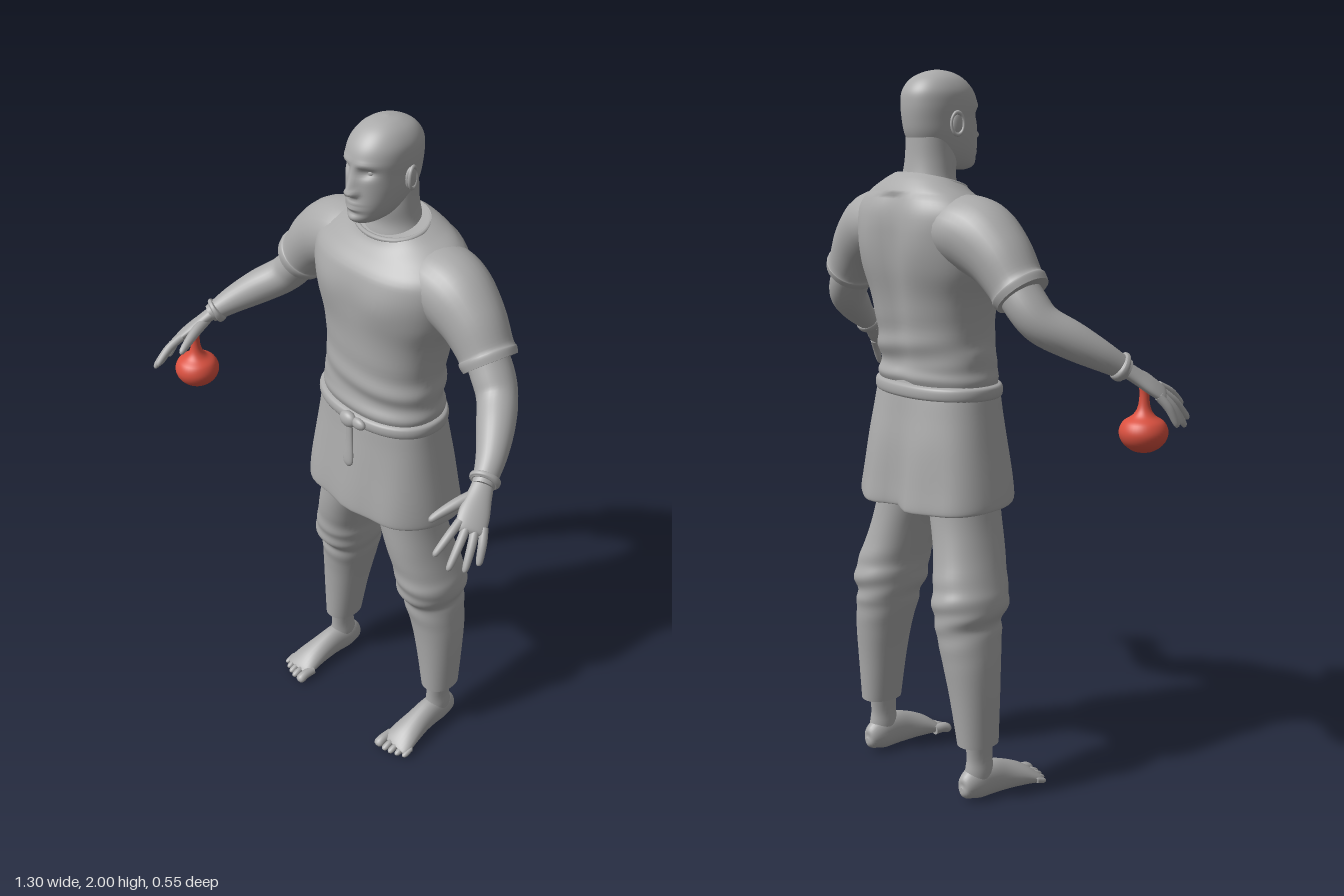
import * as THREE from 'three';

const cloth = new THREE.MeshStandardMaterial({ color: 0xaaaaaa, side: THREE.DoubleSide });
cloth.name = 'grey';
const red = new THREE.MeshStandardMaterial({ color: 0xd9503f });
red.name = 'red';

const V3 = (x, y, z) => new THREE.Vector3(x, y, z);
const gauss = (a, b, sa, sb) => Math.exp(-((a / sa) ** 2) - (b / sb) ** 2);
const clamp = THREE.MathUtils.clamp;

// Smoothly interpolates rows of numbers, column by column
function smoothRows(rows, steps) {
  const out = [], n = rows.length - 1;
  for (let i = 0; i <= n * steps; i++) {
    const k = Math.min(Math.floor(i / steps), n - 1), t = i / steps - k;
    const [a, b, c, d] = [rows[Math.max(k - 1, 0)], rows[k], rows[k + 1], rows[Math.min(k + 2, n)]];
    out.push(b.map((v, j) => 0.5 * (2 * v + (c[j] - a[j]) * t
      + (2 * a[j] - 5 * v + 4 * c[j] - d[j]) * t * t
      + (3 * v - a[j] - 3 * c[j] + d[j]) * t * t * t)));
  }
  return out;
}

// Skins a list of rings; caps have their own corners so the rims stay sharp
function skin(rings, caps, bump) {
  const segs = rings[0].length, pos = [], idx = [];
  if (bump) rings.forEach(r => r.forEach(bump));
  rings.forEach(r => r.forEach(p => pos.push(p.x, p.y, p.z)));
  for (let i = 0; i < rings.length - 1; i++) for (let j = 0; j < segs; j++) {
    const a = i * segs + j, b = i * segs + (j + 1) % segs;
    idx.push(a, a + segs, b, b, a + segs, b + segs);
  }
  if (caps) [rings[0], rings[rings.length - 1]].forEach((r, e) => {
    const base = pos.length / 3, c = V3(0, 0, 0);
    r.forEach(p => { pos.push(p.x, p.y, p.z); c.addScaledVector(p, 1 / segs); });
    pos.push(c.x, c.y, c.z);
    for (let j = 0; j < segs; j++) {
      const a = base + j, b = base + (j + 1) % segs;
      if (e) idx.push(a, base + segs, b); else idx.push(a, b, base + segs);
    }
  });
  const g = new THREE.BufferGeometry();
  g.setAttribute('position', new THREE.Float32BufferAttribute(pos, 3));
  g.setIndex(idx);
  g.computeVertexNormals();
  return g;
}

// Level sections, bottom to top: [y, xMin, xMax, zFront, zBack]
function body(rows, { segs = 56, steps = 6, power = 2, caps = true, bump } = {}) {
  const round = v => Math.sign(v) * Math.abs(v) ** (2 / power);
  return skin(smoothRows(rows, steps).map(([y, x0, x1, zf, zb]) =>
    Array.from({ length: segs }, (_, j) => {
      const a = j / segs * Math.PI * 2;
      return V3((x0 + x1) / 2 + (x1 - x0) / 2 * round(Math.cos(a)), y,
        (zf + zb) / 2 + (zf - zb) / 2 * round(Math.sin(a)));
    })), caps, bump);
}

// Sections across a path: [x, y, z, radius, radius along ref]
function limb(rows, ref = V3(0, 0, 1), segs = 28, steps = 5) {
  const pts = smoothRows(rows, steps), at = i => V3(...pts[clamp(i, 0, pts.length - 1)].slice(0, 3));
  return skin(pts.map(([, , , ra, rb], i) => {
    const T = at(i + 1).sub(at(i - 1)).normalize();
    const U = T.clone().cross(ref).normalize(), W = U.clone().cross(T);
    return Array.from({ length: segs }, (_, j) => {
      const a = j / segs * Math.PI * 2;
      return at(i).addScaledVector(U, ra * Math.cos(a)).addScaledVector(W, rb * Math.sin(a));
    });
  }), true);
}

export function createModel() {
  const model = new THREE.Group();
  const add = (name, geometry, material = cloth, parent = model) => {
    const m = new THREE.Mesh(geometry, material);
    m.name = name;
    parent.add(m);
    return m;
  };
  const sym = rows => rows.map(([y, w, zf, zb]) => [y, -w, w, zf, zb]);

  // Shirt with a spine groove, chest and waist folds
  add('shirt', body(sym([
    [1.15, .19, .028, -.215], [1.18, .197, .037, -.228], [1.21, .19, .03, -.222], [1.25, .19, .034, -.232],
    [1.3, .184, .03, -.238], [1.4, .2, .03, -.253], [1.48, .23, .034, -.266], [1.56, .245, .034, -.27],
    [1.62, .24, .018, -.268], [1.66, .2, -.008, -.25], [1.69, .145, -.03, -.225], [1.71, .112, -.04, -.2],
  ]), {
    power: 2.25, bump: p => {
      const back = p.z < -.12 ? 1 : 0, front = p.z > -.08 ? 1 : 0;
      if (p.y < 1.66) p.z += back * (.024 * gauss(p.x, p.y - 1.42, .04, .26) - .012 * gauss(Math.abs(p.x) - .11, p.y - 1.55, .06, .1));
      p.z += front * .008 * gauss(Math.abs(p.x) - .1, p.y - 1.52, .07, .06);
      p.z += (front - back) * .004 * Math.sin(p.y * 75 + p.x * 9) * gauss(0, p.y - 1.24, 1, .08);
      if (p.y > 1.6) p.y -= (p.y - 1.6) / .11 * .024 * (p.z + .12) / .08;
    },
  }));
  const loop = (rx, rz, y, zc, tilt) => new THREE.CatmullRomCurve3(Array.from({ length: 16 }, (_, i) => {
    const a = i / 16 * Math.PI * 2;
    return V3(rx * Math.cos(a), y - tilt * Math.sin(a), zc + rz * Math.sin(a));
  }), true);
  add('collar', new THREE.TubeGeometry(loop(.112, .08, 1.705, -.12, .022), 64, .007, 8, true));

  // Skirt, open below
  add('skirt', body(sym([
    [.832, .244, .06, -.27], [.842, .25, .066, -.276], [.9, .242, .062, -.268], [1, .224, .05, -.254],
    [1.08, .21, .04, -.238], [1.14, .2, .034, -.226], [1.18, .19, .026, -.215],
  ]), {
    power: 2.4, caps: false, bump: p => {
      const low = clamp((1.14 - p.y) / .3, 0, 1);
      if (p.z < -.1) p.z += .03 * low * gauss(p.x, 0, .05, 1);
      p.z += low * .005 * Math.sin(p.x * 38 + 1);
      p.y += low * .04 * (p.z + .1) * 1.5;
    },
  }));
  add('hips', body(sym([[.86, .12, -.03, -.17], [.95, .18, .01, -.21], [1.12, .17, 0, -.2]])));

  // Belt with knot and hanging tail
  add('belt', body(sym([
    [1.127, .196, .03, -.222], [1.132, .206, .042, -.232], [1.147, .209, .046, -.235],
    [1.162, .206, .042, -.232], [1.167, .196, .03, -.222],
  ]), { power: 2.25, steps: 3 }));
  const knot = add('beltKnot', new THREE.SphereGeometry(1, 24, 16));
  knot.scale.set(.03, .024, .018);
  knot.position.set(.012, 1.147, .05);
  const bow = add('beltLoop', new THREE.SphereGeometry(1, 20, 12));
  bow.scale.set(.026, .017, .013);
  bow.position.set(.05, 1.148, .047);
  add('beltTail', limb([[.018, 1.14, .052, .012, .007], [.022, 1.08, .055, .013, .007],
    [.022, 1.02, .06, .019, .008], [.022, 1.002, .06, .012, .006], [.022, .995, .06, .002, .002]]));

  // Head: face features come from soft bumps on the front half
  add('head', body(sym([
    [1.735, .012, -.005, -.045], [1.742, .034, .014, -.085], [1.76, .052, .024, -.13], [1.79, .067, .025, -.165],
    [1.83, .077, .022, -.188], [1.87, .081, .021, -.197], [1.91, .084, .021, -.2], [1.945, .08, .008, -.195],
    [1.975, .062, -.02, -.172], [1.993, .035, -.055, -.135], [2, .004, -.092, -.1],
  ]), {
    segs: 88, power: 2.15, bump: p => {
      if (p.z < -.06) return;
      const ax = Math.abs(p.x), y = p.y;
      const ridge = y > 1.825 ? clamp((1.9 - y) / .075, 0, 1) : Math.exp(-(((1.825 - y) / .008) ** 2));
      p.z += .024 * ridge * gauss(p.x, 0, .012 + .004 * ridge, 1)
        + .008 * gauss(ax - .014, y - 1.828, .007, .009)
        - .016 * gauss(ax - .036, y - 1.884, .019, .013)
        + .005 * gauss(ax - .035, y - 1.905, .026, .009)
        + .008 * gauss(p.x, y - 1.789, .025, .012)
        - .007 * gauss(p.x, y - 1.79, .026, .003)
        - .005 * gauss(p.x, y - 1.77, .03, .007)
        + .006 * gauss(p.x, y - 1.752, .022, .012);
    },
  }));
  add('neck', body(sym([[1.62, .11, -.04, -.22], [1.68, .093, -.048, -.21], [1.72, .077, -.055, -.196],
    [1.77, .07, -.05, -.188], [1.83, .066, -.06, -.185]])));

  for (const s of [-1, 1]) {
    const side = new THREE.Group();
    side.name = s > 0 ? 'leftSide' : 'rightSide';
    model.add(side);
    const part = (name, g) => add(name, g, cloth, side);
    const flip = rows => rows.map(([x, ...r]) => [s * x, ...r]);

    // Eye and ear
    part('eye', new THREE.SphereGeometry(.012, 20, 14)).position.set(s * .036, 1.883, -.012);
    const ear = part('ear', new THREE.SphereGeometry(1, 20, 14));
    ear.scale.set(.009, .031, .018);
    ear.position.set(s * .087, 1.858, -.098);
    const rim = part('earRim', new THREE.TorusGeometry(.024, .005, 8, 28));
    rim.scale.set(.75, 1.2, 1);
    rim.rotation.y = s * (Math.PI / 2 + .3);
    rim.position.set(s * .092, 1.86, -.1);

    // Sleeve with hem, forearm and wristband
    part('sleeve', limb(flip([
      [.1, 1.59, -.14, .08, .1], [.17, 1.585, -.137, .096, .11], [.235, 1.565, -.132, .1, .102], [.3, 1.52, -.127, .088, .088],
      [.35, 1.462, -.122, .075, .077], [.362, 1.448, -.12, .079, .08], [.375, 1.433, -.118, .075, .076]])));
    part('forearm', limb(flip([
      [.33, 1.48, -.124, .055, .058], [.385, 1.41, -.115, .055, .06], [.425, 1.362, -.095, .053, .055],
      [.475, 1.322, -.04, .05, .05], [.52, 1.282, .02, .04, .04], [.555, 1.242, .083, .026, .03]])));
    part('wristband', limb(flip([[.543, 1.257, .06, .031, .034], [.545, 1.254, .064, .037, .041],
      [.55, 1.249, .073, .037, .041], [.552, 1.247, .077, .03, .034]])));

    // Hand
    const across = V3(s * .68, -.29, -.68);
    part('palm', limb(flip([[.548, 1.25, .072, .02, .027], [.565, 1.226, .105, .018, .033],
      [.583, 1.2, .14, .017, .041], [.599, 1.177, .168, .013, .04], [.604, 1.17, .176, .005, .034]]), across));
    const tips = [[.575, 1.132, .272], [.612, 1.1, .258], [.635, 1.087, .222], [.645, 1.093, .182]];
    tips.forEach(([x, y, z], i) => {
      const t = -.031 + i * .021, k = [.594 + .68 * t, 1.184 - .29 * t, .16 - .68 * t];
      const on = (u, lift, r) => [k[0] + (x - k[0]) * u + lift * .5, k[1] + (y - k[1]) * u + lift, k[2] + (z - k[2]) * u, r, r];
      part('finger', limb(flip([on(0, 0, .012), on(.45, .007, .0115), on(.85, .003, .0095), on(.97, 0, .006), on(1, 0, .001)]), across, 14, 4));
    });
    part('thumb', limb(flip([[.555, 1.23, .1, .016, .016], [.538, 1.216, .155, .015, .015],
      [.522, 1.198, .203, .0115, .0115], [.515, 1.187, .224, .008, .008], [.513, 1.184, .23, .001, .001]]), across, 14));

    // Trouser leg with a loose knee
    part('trouserLeg', body([
      [.168, .175, .274, -.077, -.2], [.3, .15, .278, -.069, -.213], [.4, .127, .277, -.06, -.225], [.48, .106, .268, -.046, -.233],
      [.515, .1, .262, -.04, -.234], [.55, .09, .273, -.022, -.241], [.59, .086, .27, -.014, -.238],
      [.63, .082, .257, -.012, -.23], [.72, .058, .23, 0, -.21], [.82, .028, .208, .005, -.2], [.97, 0, .19, .01, -.2],
    ].map(([y, a, b, f, k]) => [y, s > 0 ? a : -b, s > 0 ? b : -a, f, k]), {
      segs: 40, power: 2.15, bump: p => { p.z += .004 * Math.sin(p.y * 90 + p.x * 20) * gauss(0, p.y - .55, 1, .08); },
    }));

    // Bare foot
    part('ankle', limb(flip([[.222, .03, -.132, .032, .045], [.224, .08, -.133, .033, .045],
      [.224, .13, -.132, .029, .041], [.224, .22, -.135, .036, .048]])));
    const up = V3(0, 1, 0);
    part('foot', limb(flip([
      [.222, .038, -.196, .006, .008], [.222, .039, -.186, .024, .03], [.222, .05, -.15, .035, .049], [.224, .053, -.1, .036, .052],
      [.226, .046, -.05, .039, .045], [.229, .034, .005, .047, .033], [.231, .021, .045, .052, .02], [.231, .015, .062, .047, .012]]), up));
    for (let i = 0; i < 5; i++) {
      const r = i ? .0105 - i * .0005 : .015, x = i ? .195 + i * .021 : .188, z = .097 - i * i * .0017;
      part('toe', limb(flip([[x, .02, .035, r, r], [x, .02, z - .03, r, r], [x, .014, z - .012, r * 1.05, r * .95],
        [x, .012, z - .003, r * .7, r * .6], [x, .011, z, .001, .001]]), up, 14, 4));
    }
  }

  // Round flask held in the right hand
  const flask = add('flask', new THREE.LatheGeometry(new THREE.SplineCurve([
    [0, 1.02], [.028, 1.024], [.055, 1.045], [.065, 1.073], [.055, 1.1], [.03, 1.118],
    [.017, 1.14], [.013, 1.175], [.016, 1.215], [0, 1.218],
  ].map(([r, y]) => new THREE.Vector2(r, y))).getPoints(48).map(p => p.setX(Math.max(p.x, 0))), 40), red);
  flask.position.set(-.565, 0, .138);

  return model;
}
